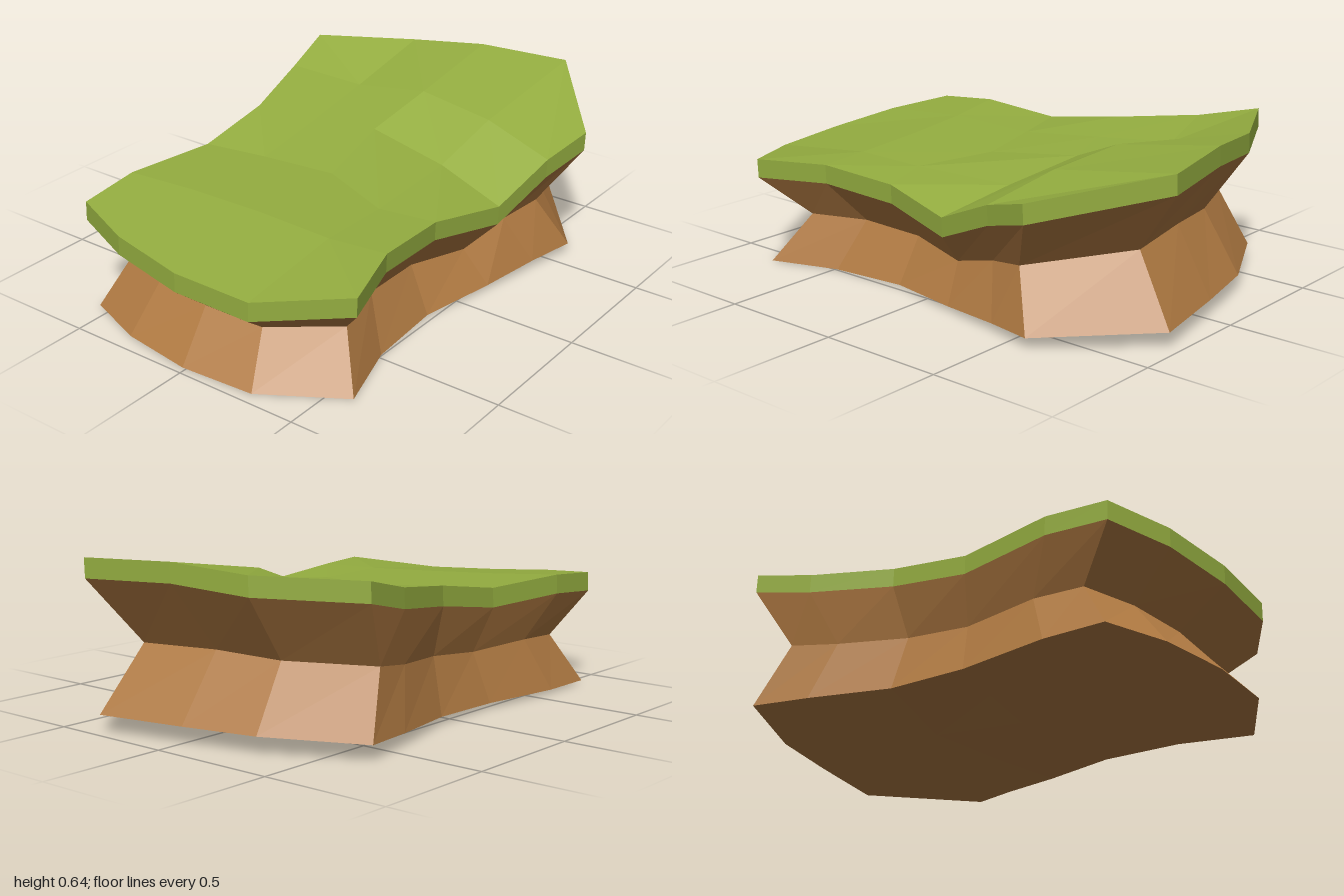
import * as THREE from 'three';

// Height grid: rows run back to front, columns run -x to +x; each point is [x, y, z]
const ROWS = [
  [[-0.67, 0.615, -0.67], [-0.3, 0.62, -0.86], [0, 0.645, -0.93], [0.36, 0.635, -1], [0.68, 0.53, -0.61]],
  [[-0.62, 0.56, -0.43], [-0.33, 0.52, -0.5], [0, 0.575, -0.49], [0.33, 0.545, -0.46], [0.63, 0.475, -0.41]],
  [[-0.53, 0.515, -0.09], [-0.3, 0.49, -0.17], [-0.07, 0.475, -0.25], [0.28, 0.43, -0.21], [0.58, 0.365, -0.15]],
  [[-0.52, 0.465, 0.24], [-0.28, 0.455, 0.18], [0, 0.44, 0.12], [0.3, 0.425, 0.23], [0.51, 0.41, 0.17]],
  [[-0.56, 0.475, 0.62], [-0.3, 0.46, 0.57], [0, 0.445, 0.54], [0.3, 0.43, 0.53], [0.53, 0.43, 0.5]],
  [[-0.55, 0.455, 0.87], [-0.3, 0.43, 0.96], [0, 0.4, 1], [0.31, 0.383, 0.98], [0.62, 0.42, 0.79]],
];
const THICKNESS = 0.075;

// Levels of the block, each a rule applied to a grid point
const turfTop = (p) => p;
const turfBottom = ([x, y, z]) => [x - 0.003, y - THICKNESS, z];
const waist = ([x, y, z]) => [x * (0.83 - 0.03 * z) - 0.03, (y - THICKNESS) * 0.555, 0.81 * z + 0.01];
const base = ([x, , z]) => [
  0.97 * x - 0.015,
  Math.max(0, 0.018 - 0.017 * z + 0.035 * Math.max(0, -z) - 0.012 * x),
  0.97 * z,
];

// Outline of the grid, anticlockwise seen from above
function outline() {
  const last = ROWS.length - 1;
  const left = ROWS.map((r) => r[0]);
  const right = ROWS.map((r) => r[4]).reverse();
  return [...left, ...ROWS[last].slice(1, 4), ...right, ...ROWS[0].slice(1, 4).reverse()];
}

function addQuad(out, a, b, c, d) {
  out.push(...a, ...b, ...c, ...a, ...c, ...d);
}

// Ring of side faces between two levels
function addWall(out, lower, upper) {
  const ring = outline();
  ring.forEach((p, i) => {
    const q = ring[(i + 1) % ring.length];
    addQuad(out, lower(p), lower(q), upper(q), upper(p));
  });
}

// Sheet of quads over the whole grid, facing up or down
function addSheet(out, level, up) {
  for (let j = 0; j < ROWS.length - 1; j++) {
    for (let i = 0; i < 4; i++) {
      const quad = [ROWS[j][i], ROWS[j + 1][i], ROWS[j + 1][i + 1], ROWS[j][i + 1]].map(level);
      if (!up) quad.reverse();
      addQuad(out, ...quad);
    }
  }
}

function makeMesh(name, positions, color) {
  const geometry = new THREE.BufferGeometry();
  geometry.setAttribute('position', new THREE.Float32BufferAttribute(positions, 3));
  geometry.computeVertexNormals();
  const mesh = new THREE.Mesh(geometry, new THREE.MeshStandardMaterial({ color, flatShading: true }));
  mesh.name = name;
  return mesh;
}

export function createModel() {
  const group = new THREE.Group();
  group.name = 'terrainBlock';

  // Grass slab with its rolling top
  const turf = [];
  addSheet(turf, turfTop, true);
  addWall(turf, turfBottom, turfTop);
  addSheet(turf, turfBottom, false);
  group.add(makeMesh('grassTop', turf, 0x94ad40));

  // Earth below, pinched at the waist and flaring to the base
  const earth = [];
  addWall(earth, waist, turfBottom);
  addWall(earth, base, waist);
  addSheet(earth, base, false);
  group.add(makeMesh('earthCliff', earth, 0xb07a42));

  return group;
}
